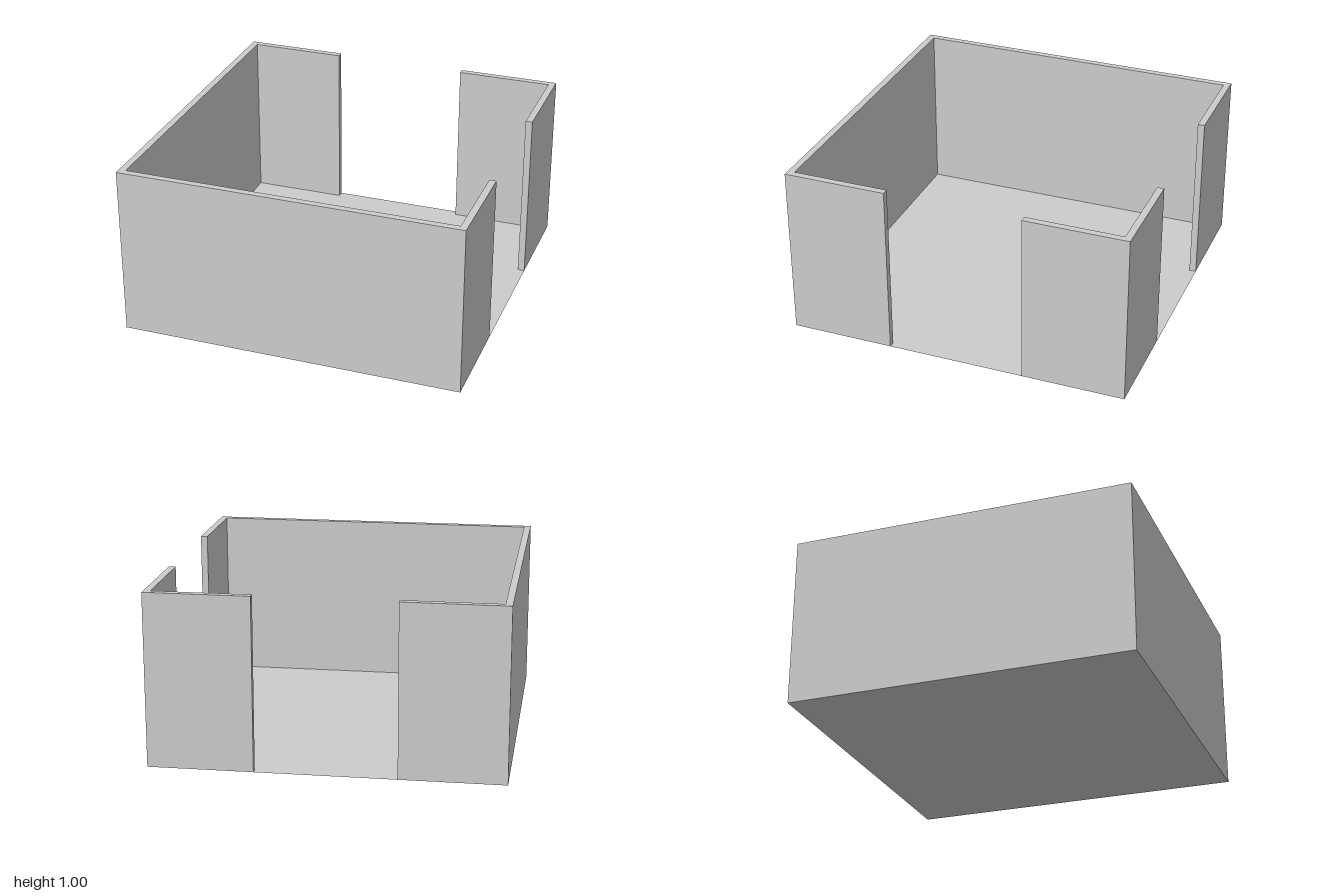
import * as THREE from 'three';

const HEIGHT = 1, HALF = 1, INNER = 0.96, GAP = 0.4;
const material = new THREE.MeshStandardMaterial({ color: 0xcccccc, flatShading: true });

// Upright wall raised from a floor-plan outline of [x, z] corners
function wall(name, plan) {
  const shape = new THREE.Shape(plan.map(([x, z]) => new THREE.Vector2(x, -z)));
  const geometry = new THREE.ExtrudeGeometry(shape, { depth: HEIGHT, bevelEnabled: false });
  geometry.rotateX(-Math.PI / 2);
  const mesh = new THREE.Mesh(geometry, material);
  mesh.name = name;
  return mesh;
}

export function createModel() {
  const group = new THREE.Group();
  group.name = 'openRoom';

  // Thin floor sheet
  const floorMaterial = material.clone();
  floorMaterial.side = THREE.DoubleSide;
  const floor = new THREE.Mesh(new THREE.PlaneGeometry(2 * HALF, 2 * HALF).rotateX(-Math.PI / 2), floorMaterial);
  floor.name = 'floor';
  group.add(floor);

  // Continuous wall: back stub, full side, full front, side stub
  group.add(wall('mainWall', [
    [-GAP, -HALF], [-HALF, -HALF], [-HALF, HALF], [HALF, HALF], [HALF, GAP],
    [INNER, GAP], [INNER, INNER], [-INNER, INNER], [-INNER, -INNER], [-GAP, -INNER],
  ]));

  // L-shaped corner between the two doorways
  group.add(wall('cornerWall', [
    [GAP, -HALF], [GAP, -INNER], [INNER, -INNER], [INNER, -GAP], [HALF, -GAP], [HALF, -HALF],
  ]));

  return group;
}
